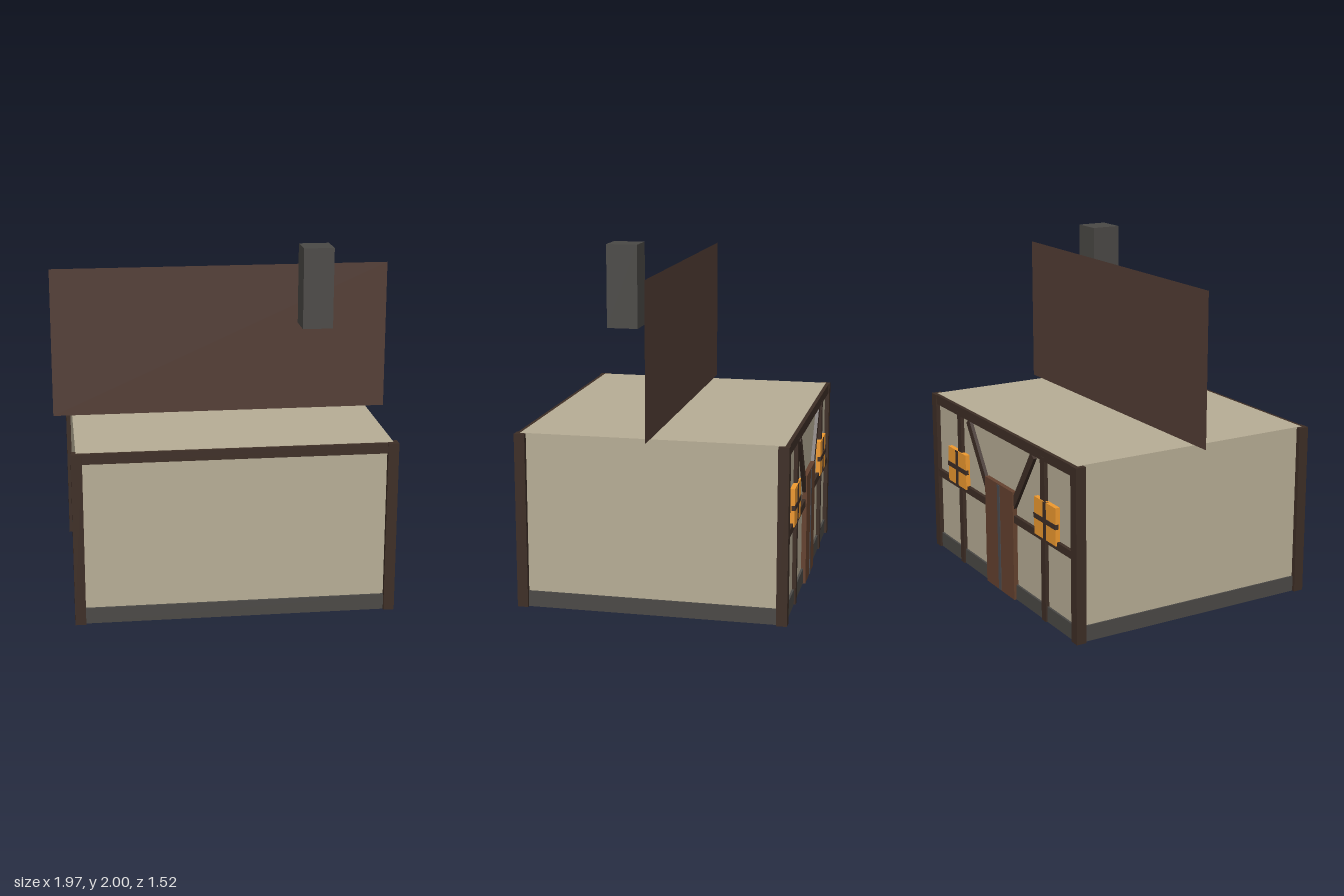
import * as THREE from 'three';

const mat = (color, side = THREE.FrontSide) => new THREE.MeshStandardMaterial({ color, side });

export function createModel() {
  const house = new THREE.Group();
  house.name = 'house';
  const plaster = mat(0xb8ae96), timber = mat(0x3e2e26), stone = mat(0x4b4946);
  const doorWood = mat(0x65422f), iron = mat(0x4c4c50), glass = mat(0xf09a30);
  const roofing = mat(0x533d35, THREE.DoubleSide);

  // Box given by its lower and upper corners
  const box = (name, material, [x0, y0, z0], [x1, y1, z1], parent = house) => {
    const mesh = new THREE.Mesh(new THREE.BoxGeometry(x1 - x0, y1 - y0, z1 - z0), material);
    mesh.position.set((x0 + x1) / 2, (y0 + y1) / 2, (z0 + z1) / 2);
    mesh.name = name;
    parent.add(mesh);
    return mesh;
  };

  // Body and footing
  box('walls', plaster, [-0.873, 0.08, -0.73], [0.873, 0.99, 0.73]);
  box('footing', stone, [-0.882, 0, -0.742], [0.882, 0.09, 0.742]);

  // Corner posts and top beams
  for (const x of [-0.87, 0.87])
    for (const z of [-0.726, 0.728])
      box('cornerPost', timber, [x - 0.03, 0, z - 0.03], [x + 0.03, 0.988, z + 0.03]);
  for (const z of [-0.735, 0.735])
    box('topBeam', timber, [-0.86, 0.93, z - 0.016], [0.86, 0.988, z + 0.016]);

  // Timber framing on the door side
  box('midRail', timber, [-0.86, 0.467, -0.75], [0.86, 0.511, -0.72]);
  for (const s of [-1, 1]) {
    box('stud', timber, [s * 0.522 - 0.024, 0, -0.752], [s * 0.522 + 0.024, 0.95, -0.72]);

    const from = new THREE.Vector2(0.15, 0.555), to = new THREE.Vector2(0.405, 0.925);
    const run = to.clone().sub(from);
    const brace = box('brace', timber, [-0.023, -run.length() / 2, -0.015], [0.023, run.length() / 2, 0.015]);
    brace.position.set(s * (from.x + to.x) / 2, (from.y + to.y) / 2, -0.735);
    brace.rotation.z = -s * Math.atan2(run.x, run.y);

    // Lit window with crossed bars
    const win = new THREE.Group();
    win.name = 'window';
    win.position.set(s * 0.555, 0.597, 0);
    house.add(win);
    box('pane', glass, [-0.122, -0.108, -0.757], [0.122, 0.108, -0.72], win);
    box('uprightBar', timber, [-0.014, -0.108, -0.761], [0.014, 0.108, -0.74], win);
    box('crossBar', timber, [-0.124, -0.014, -0.761], [0.124, 0.014, -0.74], win);
  }

  // Double door with a centre strip
  box('door', doorWood, [-0.175, 0, -0.757], [0.175, 0.65, -0.72]);
  box('doorStrip', iron, [-0.014, 0.005, -0.761], [0.014, 0.645, -0.74]);

  // Thin upright roof panel
  const roof = new THREE.Mesh(new THREE.PlaneGeometry(1.965, 0.868), roofing);
  roof.position.set(0, 1.424, 0);
  roof.name = 'roofPanel';
  house.add(roof);

  // Chimney
  box('chimney', stone, [0.433, 1.54, 0.133], [0.606, 2, 0.306]);

  return house;
}
